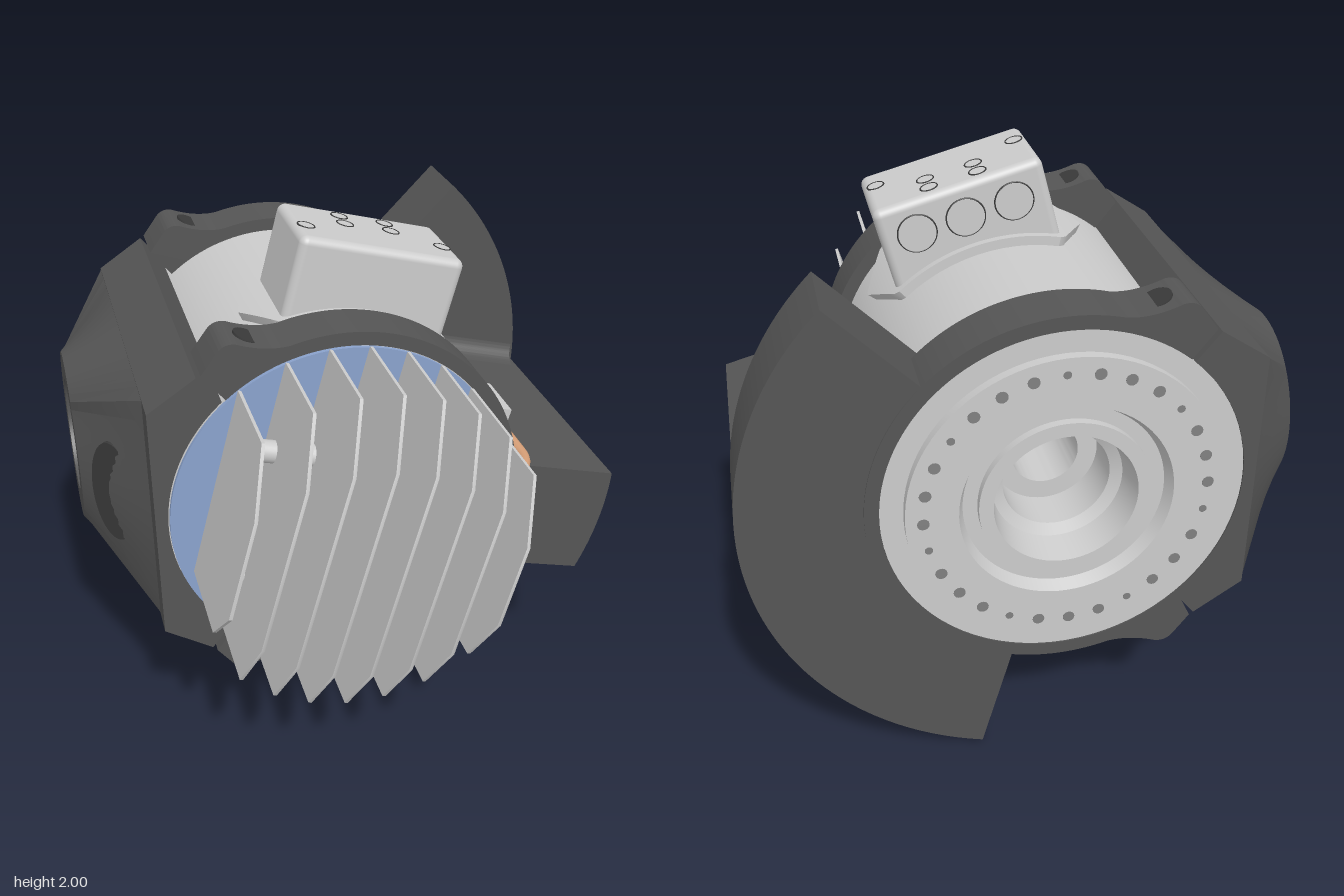
import * as THREE from 'three';
import { toCreasedNormals } from 'three/addons/utils/BufferGeometryUtils.js';
import { RoundedBoxGeometry } from 'three/addons/geometries/RoundedBoxGeometry.js';

const RAD = Math.PI / 180;
const mat = (color) => new THREE.MeshStandardMaterial({ color });
const grey = mat(0xcccccc), dark = mat(0x555555), hole = mat(0x3a3a3a);
const blue = mat(0x8aa2cc), copper = mat(0xd8a078), shade = mat(0x808080);
const R = 0.63; // radius of the motor body

function add(parent, name, geo, material, x = 0, y = 0, z = 0) {
  const m = new THREE.Mesh(geo, material);
  m.name = name;
  m.position.set(x, y, z);
  parent.add(m);
  return m;
}

// Extrudes a shape along z between two depths
function slab(shape, z0, z1) {
  const g = new THREE.ExtrudeGeometry(shape, { depth: z1 - z0, bevelEnabled: false, curveSegments: 48 });
  return toCreasedNormals(g.translate(0, 0, z0), 0.5);
}

// Turns a slab so that its outline lies in the y-z plane
const toSide = new THREE.Matrix4().makeBasis(
  new THREE.Vector3(0, 1, 0), new THREE.Vector3(0, 0, 1), new THREE.Vector3(1, 0, 0));

// Cylinder whose axis lies along z
const discZ = (r, h, n = 24) => new THREE.CylinderGeometry(r, r, h, n).rotateX(Math.PI / 2);

// Skin between closed cross-sections with equal point counts
function loft(sections) {
  const pos = [];
  for (let i = 0; i < sections.length - 1; i++) {
    const s = sections[i], t = sections[i + 1], n = s.length;
    for (let j = 0; j < n; j++) {
      const k = (j + 1) % n;
      for (const p of [s[j], s[k], t[k], s[j], t[k], t[j]]) pos.push(...p);
    }
  }
  const g = new THREE.BufferGeometry();
  g.setAttribute('position', new THREE.Float32BufferAttribute(pos, 3));
  return toCreasedNormals(g, 0.5);
}

// Split clamp ring with two flared ears on the -x side
function clampShape() {
  const s = new THREE.Shape(), a = 105 * RAD, r = 0.68;
  s.absarc(0, 0, r, -a, a, false);
  s.quadraticCurveTo(-0.26, 0.645, -0.36, 0.685);
  s.quadraticCurveTo(-0.4, 0.695, -0.425, 0.665);
  s.lineTo(-0.485, 0.585);
  s.absarc(0, 0, R, 130 * RAD, -130 * RAD, true);
  s.lineTo(-0.485, -0.585);
  s.lineTo(-0.425, -0.665);
  s.quadraticCurveTo(-0.4, -0.695, -0.36, -0.685);
  s.quadraticCurveTo(-0.26, -0.645, r * Math.cos(a), -r * Math.sin(a));
  return s;
}

function buildMount(root) {
  // Clamp rings with bolt recesses
  for (const [z0, z1] of [[0.24, 0.43], [-0.885, -0.69]]) {
    add(root, 'clampRing', slab(clampShape(), z0, z1), dark);
    for (const s of [1, -1]) {
      const b = add(root, 'clampBolt', new THREE.CylinderGeometry(0.055, 0.055, 0.12, 24), hole, -0.325, 0.613 * s, (z0 + z1) / 2);
      b.rotation.z = s > 0 ? 24 * -RAD : 156 * -RAD;
    }
  }
  // Saddle hugging the body
  const s = new THREE.Shape();
  s.moveTo(-0.417, 0.472);
  s.lineTo(-0.5, 0.575);
  s.lineTo(-0.675, 0.46);
  s.lineTo(-0.675, -0.46);
  s.lineTo(-0.5, -0.575);
  s.lineTo(-0.417, -0.472);
  s.absarc(0, 0, R, 228.5 * RAD, 131.5 * RAD, true);
  add(root, 'saddle', slab(s, -0.885, 0.42), dark);

  // Square-to-round boss with a blind bore
  const N = 64;
  const ring = (x, zc, hz, hy, square) => Array.from({ length: N }, (_, i) => {
    const t = (i / N) * 2 * Math.PI, c = Math.cos(t), q = Math.sin(t);
    const k = square ? 1 / Math.max(Math.abs(c), Math.abs(q)) : 1;
    return [x, hy * q * k, zc + hz * c * k];
  });
  add(root, 'sideBoss', loft([
    ring(-0.67, -0.285, 0.6, 0.46, true),
    ring(-0.895, -0.335, 0.33, 0.33),
    ring(-0.895, -0.335, 0.22, 0.22),
    ring(-0.69, -0.335, 0.22, 0.22),
    ring(-0.69, -0.335, 0.001, 0.001),
  ]), dark);
  // Oval opening in the front slope of the boss
  const oval = add(root, 'bossOpening', discZ(1, 0.02, 40), hole, -0.783, 0, 0.132);
  oval.scale.set(0.1, 0.21, 1);
  oval.rotation.y = -0.82;
}

function buildMotor(g) {
  // Body with stepped through bore and rear output flange
  const profile = [[0.12, 0.42], [0.12, -0.6], [0.19, -0.6], [0.19, -0.76], [0.23, -0.78], [0.25, -0.9],
    [0.3, -0.9], [0.3, -0.87], [0.35, -0.87], [0.37, -0.915], [0.55, -0.915], [0.55, -0.88],
    [R, -0.88], [R, 0.42], [0.12, 0.42]].map(([r, z]) => new THREE.Vector2(r, z));
  const body = new THREE.LatheGeometry(profile, 80).rotateX(Math.PI / 2);
  add(g, 'motorBody', toCreasedNormals(body, 0.5), grey);
  for (let i = 0; i < 28; i++) {
    const a = (i / 28) * 2 * Math.PI;
    add(g, 'flangeHole', discZ(i % 4 ? 0.021 : 0.014, 0.01, 14), shade, 0.49 * Math.cos(a), 0.49 * Math.sin(a), -0.912);
  }

  // Front cover: floor plate and upper plate with two slots
  const plate = (r, ri) => {
    const s = new THREE.Shape().absarc(0, 0, r, 0, 2 * Math.PI, false);
    s.holes.push(new THREE.Path().absarc(0, 0, ri, 0, 2 * Math.PI, true));
    return s;
  };
  add(g, 'coverFloor', slab(plate(R - 0.005, 0.12), 0.415, 0.425), blue);
  const cover = plate(R - 0.003, 0.12);
  for (const turn of [0, Math.PI]) {
    const slot = new THREE.Path(), d = -24 * RAD + turn;
    const cx = 0.228 * Math.cos(turn), cy = 0.444 * Math.cos(turn);
    const ux = 0.15 * Math.cos(d), uy = 0.15 * Math.sin(d);
    slot.absarc(cx + ux, cy + uy, 0.055, d + Math.PI / 2, d - Math.PI / 2, true);
    slot.absarc(cx - ux, cy - uy, 0.055, d - Math.PI / 2, d - 1.5 * Math.PI, true);
    cover.holes.push(slot);
  }
  add(g, 'frontCover', slab(cover, 0.425, 0.44), blue);
  add(g, 'coverHub', slab(plate(0.2, 0.12), 0.44, 0.45), blue);
  for (let i = 0; i < 4; i++) {
    const a = i * Math.PI / 2, x = 0.17 * Math.cos(a), y = 0.17 * Math.sin(a);
    add(g, 'hubBolt', discZ(0.03, 0.02), blue, x, y, 0.455);
    add(g, 'hubBoltSocket', discZ(0.014, 0.004, 6), hole, x, y, 0.465);
  }
}

function buildCooling(g) {
  // Thin cooling fins with chamfered front corners
  for (let i = 0; i < 8; i++) {
    const x = -0.48 + i * 0.14, h = Math.sqrt(R * R - x * x);
    const low = i === 0 ? 0.33 : h; // the outermost fin is cut short below
    const s = new THREE.Shape([[-low, 0.44], [h, 0.44], [h, 0.8], [h - 0.22, 0.92], [0.22 - h, 0.92], [-low, 0.8]]
      .map(([u, v]) => new THREE.Vector2(u, v)));
    add(g, 'coolingFin', slab(s, x - 0.006, x + 0.006).applyMatrix4(toSide), grey);
  }
  // Heat pipes, copper bends, pointed tips and holders
  for (const y of [0.245, -0.25]) {
    add(g, 'heatPipe', new THREE.CylinderGeometry(0.04, 0.04, 0.9, 24).rotateZ(Math.PI / 2), grey, 0, y, 0.545);
    const path = new THREE.CurvePath();
    const v = (x, z) => new THREE.Vector3(x, y, z);
    path.add(new THREE.LineCurve3(v(0.43, 0.55), v(0.5, 0.55)));
    path.add(new THREE.CubicBezierCurve3(v(0.5, 0.55), v(0.6, 0.55), v(0.68, 0.47), v(0.68, 0.37)));
    path.add(new THREE.LineCurve3(v(0.68, 0.37), v(0.68, -0.38)));
    add(g, 'copperPipe', new THREE.TubeGeometry(path, 90, 0.025, 16), copper);
    add(g, 'pipeTip', new THREE.CylinderGeometry(0.025, 0.005, 0.13, 16).rotateX(Math.PI / 2), copper, 0.68, y, -0.445);
    add(g, 'pipeHolder', new THREE.BoxGeometry(0.13, 0.12, 0.23), grey, 0.665, y, 0.015);
  }
}

function buildTerminalBox(g) {
  add(g, 'terminalBox', new RoundedBoxGeometry(0.624, 0.36, 0.375, 4, 0.03), grey, 0, 0.712, 0.008);
  // Curved base flange with pointed ends
  const sections = [];
  for (let i = -20; i <= 20; i++) {
    const d = i * 1.95, a = (90 + d) * RAD;
    const w = 0.215 * Math.min(1, Math.max(0.01, (39.5 - Math.abs(d)) / 11));
    sections.push([[-w, R - 0.02], [w, R - 0.02], [w, R + 0.035], [-w, R + 0.035]]
      .map(([z, r]) => [r * Math.cos(a), r * Math.sin(a), z + 0.008]));
  }
  add(g, 'boxFlange', loft(sections), grey);
  // Screw holes on top, cable openings at the back
  const tops = [[-0.264, 0.06], [0.264, 0.06]];
  for (const x of [-0.09, 0.09]) for (const z of [-0.11, -0.03]) tops.push([x, z]);
  for (const [x, z] of tops) {
    add(g, 'lidHoleRim', new THREE.TorusGeometry(0.031, 0.003, 6, 24).rotateX(Math.PI / 2), hole, x, 0.892, z);
    add(g, 'lidHole', new THREE.CylinderGeometry(0.03, 0.03, 0.004, 24), grey, x, 0.891, z);
  }
  for (const x of [-0.18, 0, 0.18]) {
    add(g, 'cableOpeningRim', new THREE.TorusGeometry(0.07, 0.003, 6, 32), hole, x, 0.77, -0.18);
    add(g, 'cableOpening', discZ(0.068, 0.006, 32), grey, x, 0.77, -0.18);
  }
}

function buildCounterweight(g) {
  // Wide rear sector and narrow arm reaching forward
  const rim = 1.097, a = 60 * RAD, h = 0.218;
  const rear = new THREE.Shape();
  rear.absarc(0, 0, rim, -a, a, false);
  rear.absarc(0, 0, R, a, -a, true);
  add(g, 'rearSector', slab(rear, -0.88, -0.6), dark);
  const arm = new THREE.Shape(), ai = Math.asin(h / R), ao = Math.asin(h / rim);
  arm.absarc(0, 0, rim, -ao, ao, false);
  arm.absarc(0, 0, R, ai, -ai, true);
  add(g, 'forwardArm', slab(arm, -0.6, 0.42), dark);
  // Fillets where the arm meets the sector
  const f = new THREE.Shape();
  f.moveTo(0, 0);
  f.lineTo(0.1, 0);
  f.quadraticCurveTo(0, 0, 0, 0.1);
  for (const s of [1, -1]) {
    const geo = slab(f, -0.2, 0.2).applyMatrix4(toSide);
    if (s < 0) geo.rotateZ(Math.PI);
    add(g, 'armFillet', geo, dark, 0.85, s * 0.216, -0.602);
  }
}

export function createModel() {
  const root = new THREE.Group();
  root.name = 'motorAssembly';
  const mount = new THREE.Group();
  mount.name = 'mount';
  const drive = new THREE.Group();
  drive.name = 'drive';
  for (const g of [mount, drive]) g.position.set(-0.105, 1.06, 0);
  drive.rotation.z = -15 * RAD;
  buildMount(mount);
  buildMotor(drive);
  buildCooling(drive);
  buildTerminalBox(drive);
  buildCounterweight(drive);
  root.add(mount, drive);
  return root;
}
